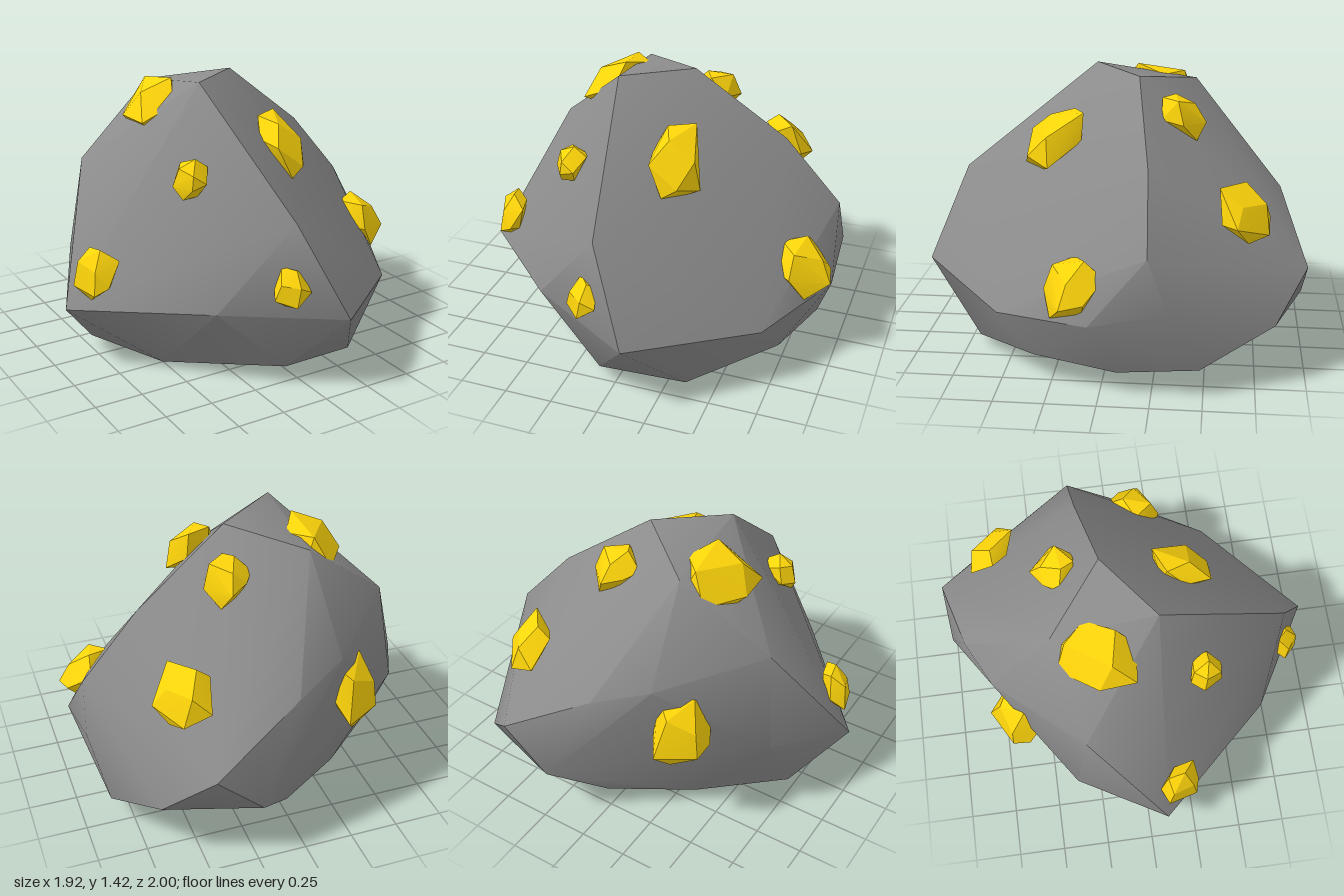
import * as THREE from 'three';
import { ConvexGeometry } from 'three/addons/geometries/ConvexGeometry.js';
import { toCreasedNormals } from 'three/addons/utils/BufferGeometryUtils.js';

const stone = new THREE.MeshStandardMaterial({ color: 0x8c8c8c });
const gold = new THREE.MeshStandardMaterial({ color: 0xffd60a });

function seeded(seed) {
  let s = seed;
  return () => (s = (s * 16807) % 2147483647) / 2147483647;
}

// Convex solid around corner points, smooth across shallow edges
function hull(points, crease) {
  return toCreasedNormals(new ConvexGeometry(points.map(p => new THREE.Vector3(...p))), crease);
}

// Irregular rounded pebble of unit radius, filling its box
function pebble(seed) {
  const rand = seeded(seed), points = [], n = 13;
  for (let i = 0; i < n; i++) {
    const y = 1 - 2 * (i + 0.5) / n, a = i * 2.4 + rand() * 0.5;
    const r = Math.sqrt(1 - y * y), k = 0.78 + 0.3 * rand();
    points.push([r * Math.cos(a) * k, r * Math.sin(a) * k, y * k]);
  }
  const g = hull(points, 0.45);
  g.center();
  const b = g.boundingBox.getSize(new THREE.Vector3());
  return g.scale(2 / b.x, 2 / b.y, 2 / b.z);
}

export function createModel() {
  const model = new THREE.Group();

  // Boulder corners
  const corners = [
    // broad front facet
    [-0.2, 1.42, 0.12], [0.13, 1.41, -0.13], [0.61, 1.05, -0.21], [0.91, 0.71, -0.23],
    [0.95, 0.38, 0.05], [0.7, 0.33, 0.53], [0.13, 0.39, 1], [-0.07, 0.86, 0.82],
    // left and back shoulders
    [-0.43, 0.42, 0.68], [-0.96, 0.34, 0.09], [-0.67, 0.99, -0.3], [-0.73, 0.48, -0.37],
    [-0.22, 1.34, -0.41], [-0.27, 0.9, -0.74], [0, 0.81, -0.87],
    [0.46, 0.53, -1], [0.22, 0.31, -0.99], [0.69, 0.31, -0.84], [0.93, 0.45, -0.33],
    // lower rim
    [0.36, 0.05, 0.69], [0.75, 0.135, 0.34], [0.86, 0.11, -0.08], [0.86, 0.14, -0.48],
    [0.01, 0.12, -0.76], [-0.36, 0.07, -0.48], [-0.73, 0.05, -0.13], [-0.52, 0.02, 0.28],
    [-0.08, 0.09, 0.76],
    // underside
    [-0.08, 0, 0.16], [0.51, 0.015, 0.1], [0.2, 0.01, -0.46], [0.1, 0.01, 0.34],
  ];
  const boulder = new THREE.Mesh(hull(corners, 0.68), stone);
  boulder.name = 'boulder';
  model.add(boulder);

  // Nuggets: position, outward direction, half sizes (across, up the slope, thickness), roll
  const nuggets = [
    [[-0.385, 1.0, 0.35], [-0.6, 0.5, 0.6], [0.09, 0.1, 0.07], 0],
    [[0.18, 1.09, 0.3], [0.58, 0.61, 0.5], [0.15, 0.21, 0.09], -0.6],
    [[-0.82, 0.53, 0.17], [-0.85, 0.3, 0.45], [0.11, 0.13, 0.07], 0],
    [[-0.11, 0.56, 0.85], [-0.4, 0.3, 0.85], [0.09, 0.1, 0.06], 0],
    [[0.81, 0.51, 0.15], [0.58, 0.61, 0.5], [0.15, 0.16, 0.1], 0],
    [[-0.31, 1.27, -0.19], [-0.6, 0.75, -0.2], [0.21, 0.16, 0.1], 0],
    [[0.19, 1.22, -0.36], [0.3, 0.7, -0.6], [0.11, 0.14, 0.08], 0],
    [[0.51, 0.83, -0.68], [0.5, 0.5, -0.7], [0.15, 0.15, 0.09], 0],
    [[-0.38, 0.64, -0.64], [-0.55, 0.3, -0.75], [0.15, 0.19, 0.1], 0],
  ];
  nuggets.forEach(([pos, dir, size, roll], i) => {
    const nugget = new THREE.Mesh(pebble(101 + i * 977), gold);
    nugget.name = 'nugget' + (i + 1);
    nugget.position.set(...pos);
    nugget.lookAt(pos[0] + dir[0], pos[1] + dir[1], pos[2] + dir[2]);
    nugget.rotateZ(roll);
    nugget.scale.set(...size);
    model.add(nugget);
  });
  return model;
}
